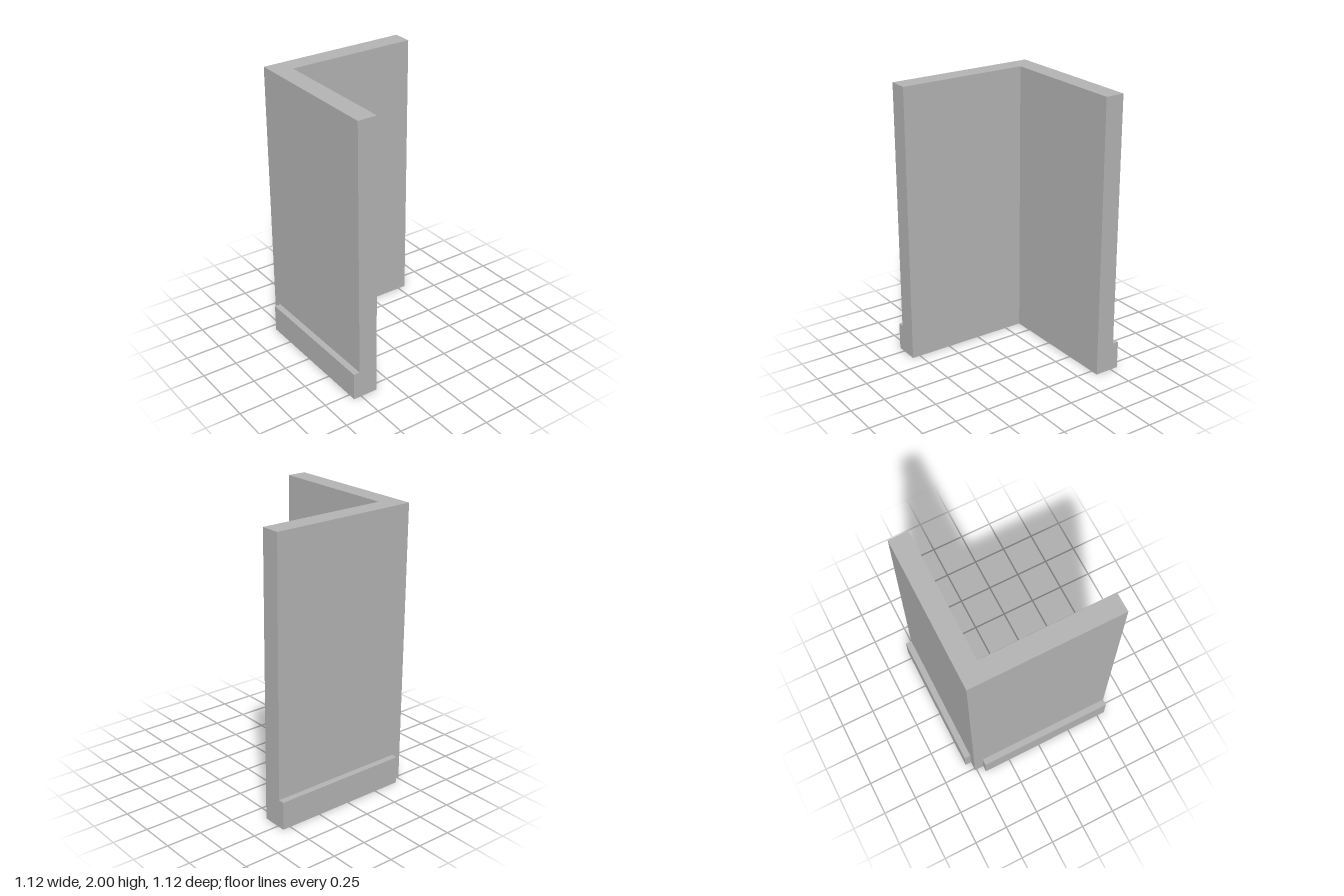
import * as THREE from 'three';

export function createModel() {
  const model = new THREE.Group();
  const plaster = new THREE.MeshStandardMaterial({ color: 0xb2b2b2 });
  plaster.name = 'plain grey';

  const outer = -0.513, inner = -0.375, end = 0.558; // wall faces and free ends
  const skirtFace = -0.558, skirtStart = -0.445, skirtHeight = 0.2;

  // L-shaped corner wall, drawn in plan (shape y = -z) and raised
  const plan = new THREE.Shape([
    [outer, outer], [end, outer], [end, inner],
    [inner, inner], [inner, end], [outer, end],
  ].map(([x, z]) => new THREE.Vector2(x, -z)));
  const wallGeometry = new THREE.ExtrudeGeometry(plan, { depth: 2, bevelEnabled: false });
  wallGeometry.rotateX(-Math.PI / 2);
  const wall = new THREE.Mesh(wallGeometry, plaster);
  wall.name = 'cornerWall';
  model.add(wall);

  // Skirting boards on the outer faces, stopping short of the corner
  const length = end - skirtStart, depth = outer - skirtFace;
  const along = (end + skirtStart) / 2, across = (outer + skirtFace) / 2;
  const addSkirting = (name, w, d, x, z) => {
    const board = new THREE.Mesh(new THREE.BoxGeometry(w, skirtHeight, d), plaster);
    board.name = name;
    board.position.set(x, skirtHeight / 2, z);
    model.add(board);
  };
  addSkirting('backSkirting', length, depth, along, across);
  addSkirting('rightSkirting', depth, length, across, along);

  return model;
}
